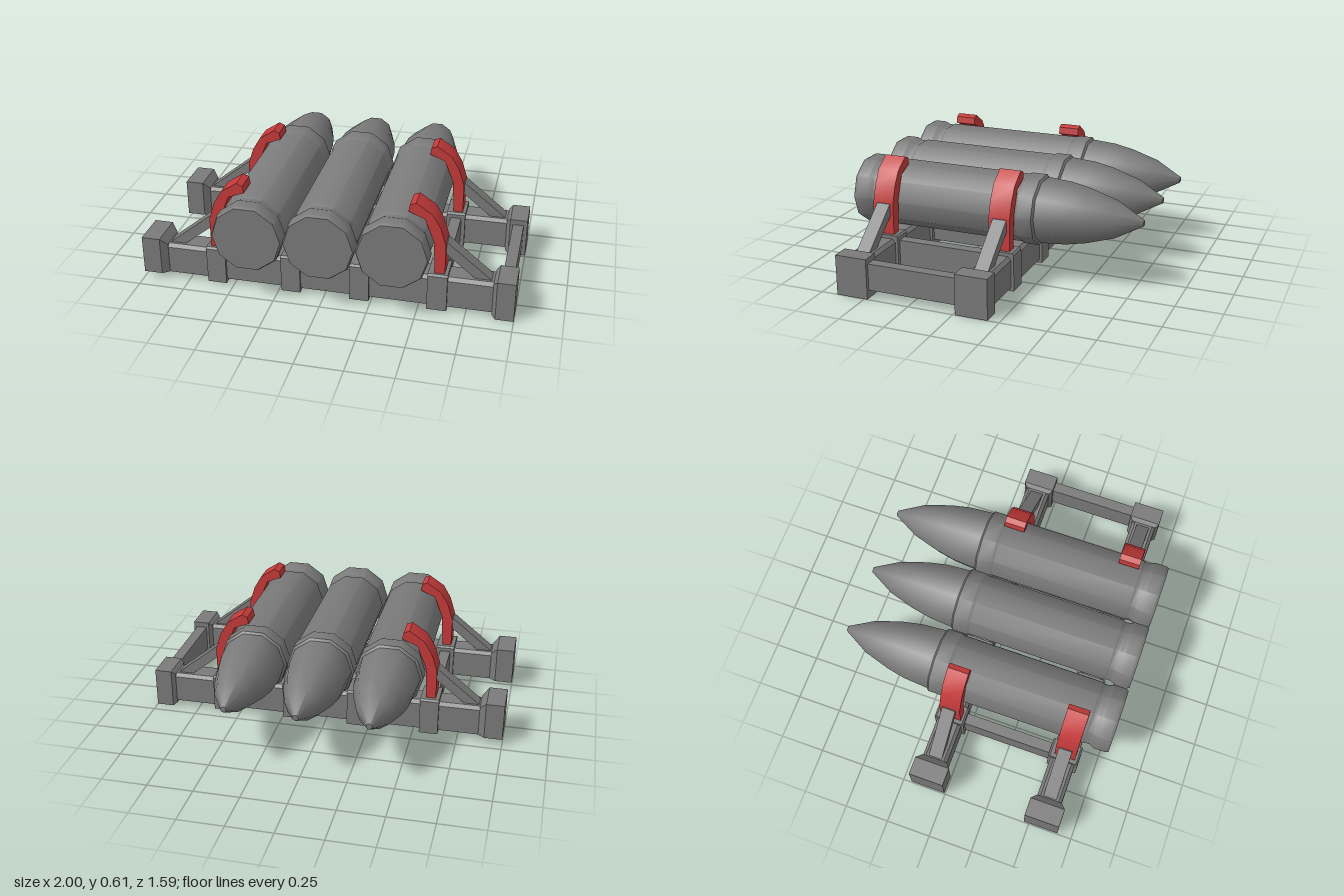
import * as THREE from 'three';
import { toCreasedNormals } from 'three/addons/utils/BufferGeometryUtils.js';

const CENTRE = 0.007;            // slight sideways offset of the load
const RAIL_Z = [0.57, -0.1];     // front and back rail
const BRACKET_X = [-0.59, -0.18, 0.19, 0.6];

// Bottomless loft along x. Sections are [x, halfWidth, bottom, top]; c chamfers the top edges.
function channel(sections, c = 0) {
  const rings = sections.map(([x, w, b, t]) => [
    [x, b, -w], [x, t - c, -w], [x, t, -w + c],
    [x, t, w - c], [x, t - c, w], [x, b, w],
  ]);
  const pos = [];
  const tri = (...pts) => pts.forEach((p) => pos.push(...p));
  for (let i = 0; i + 1 < rings.length; i++) {
    const a = rings[i], b = rings[i + 1];
    for (let j = 0; j < 5; j++) {
      tri(a[j], a[j + 1], b[j + 1]);
      tri(a[j], b[j + 1], b[j]);
    }
  }
  const first = rings[0], last = rings[rings.length - 1];
  for (let j = 1; j < 5; j++) {
    tri(first[0], first[j + 1], first[j]);
    tri(last[0], last[j], last[j + 1]);
  }
  const g = new THREE.BufferGeometry();
  g.setAttribute('position', new THREE.Float32BufferAttribute(pos, 3));
  g.computeVertexNormals();
  return g;
}

// Side outline extruded along z and centred; side = -1 mirrors it
function plate(points, side, depth) {
  const shape = new THREE.Shape(points.map(([x, y]) => new THREE.Vector2(side * x + CENTRE, y)));
  const g = new THREE.ExtrudeGeometry(shape, { depth, bevelEnabled: false });
  return g.translate(0, 0, -depth / 2);
}

export function createModel() {
  const model = new THREE.Group();
  const grey = new THREE.MeshStandardMaterial({ color: 0x7a7a7a, side: THREE.DoubleSide });
  grey.name = 'steelGrey';
  const red = new THREE.MeshStandardMaterial({ color: 0xc43a3a });
  red.name = 'clampRed';

  function add(name, geometry, material, x = 0, y = 0, z = 0, parent = model) {
    const mesh = new THREE.Mesh(geometry, material);
    mesh.name = name;
    mesh.position.set(x, y, z);
    parent.add(mesh);
    return mesh;
  }

  // Ten-sided shells: nose, driving band, body, neck and base rim
  const profile = [
    [0, -0.797], [0.016, -0.795], [0.097, -0.65], [0.143, -0.5], [0.165, -0.39],
    [0.175, -0.255], [0.188, -0.245], [0.188, -0.165], [0.181, -0.15],
    [0.181, 0.645], [0.175, 0.655], [0.176, 0.68], [0.189, 0.71],
    [0.189, 0.775], [0.181, 0.79], [0, 0.79],
  ].map(([r, z]) => new THREE.Vector2(r, z));
  const lathe = new THREE.LatheGeometry(profile, 10, Math.PI / 2).rotateX(Math.PI / 2);
  const shell = toCreasedNormals(lathe, 0.7);
  for (const i of [-1, 0, 1]) add('shell', shell, grey, CENTRE + i * 0.378, 0.379, 0);

  // Shared frame parts
  const rail = channel([[-0.99, 0.07, 0.03, 0.2], [0.99, 0.07, 0.03, 0.2]], 0.018);
  const bracket = channel([[-0.052, 0.085, 0.01, 0.22], [0.052, 0.085, 0.01, 0.22]], 0.01);
  const rightEnd = channel([
    [-1, 0.098, 0.03, 0.24], [-0.9, 0.098, 0.03, 0.24], [-0.865, 0.071, 0.03, 0.2],
  ]);
  const leftEnd = channel([
    [0.885, 0.071, 0.015, 0.2], [0.905, 0.088, 0, 0.22], [1, 0.088, 0, 0.22],
  ]);
  const clampOutline = [
    [0.575, 0.2], [0.627, 0.2], [0.627, 0.385], [0.597, 0.48], [0.553, 0.555],
    [0.468, 0.611], [0.437, 0.598], [0.43, 0.56], [0.515, 0.525], [0.565, 0.4],
  ];
  const strutOutline = [[0.61, 0.39], [0.63, 0.39], [0.865, 0.2], [0.78, 0.2], [0.61, 0.337]];

  // Two cross rails with brackets, end blocks, struts and clamps
  for (const z of RAIL_Z) {
    const frame = new THREE.Group();
    frame.name = z > 0 ? 'frontFrame' : 'backFrame';
    frame.position.z = z;
    model.add(frame);
    add('rail', rail, grey, 0, 0, 0, frame);
    add('rightEndBlock', rightEnd, grey, 0, 0, 0, frame);
    add('leftEndBlock', leftEnd, grey, 0, 0, 0, frame);
    for (const x of BRACKET_X) add('bracket', bracket, grey, x, 0, 0, frame);
    for (const side of [-1, 1]) {
      add('strut', plate(strutOutline, side, 0.075), grey, 0, 0, 0, frame);
      add('clamp', toCreasedNormals(plate(clampOutline, side, 0.117), 0.6), red, 0, 0, 0.004, frame);
    }
  }

  // Bars joining the two rails, with one more between the left end blocks
  const bar = new THREE.BoxGeometry(0.06, 0.145, 0.53);
  for (const x of [...BRACKET_X, 0.95]) add('joiningBar', bar, grey, x, 0.117, 0.235);

  return model;
}
